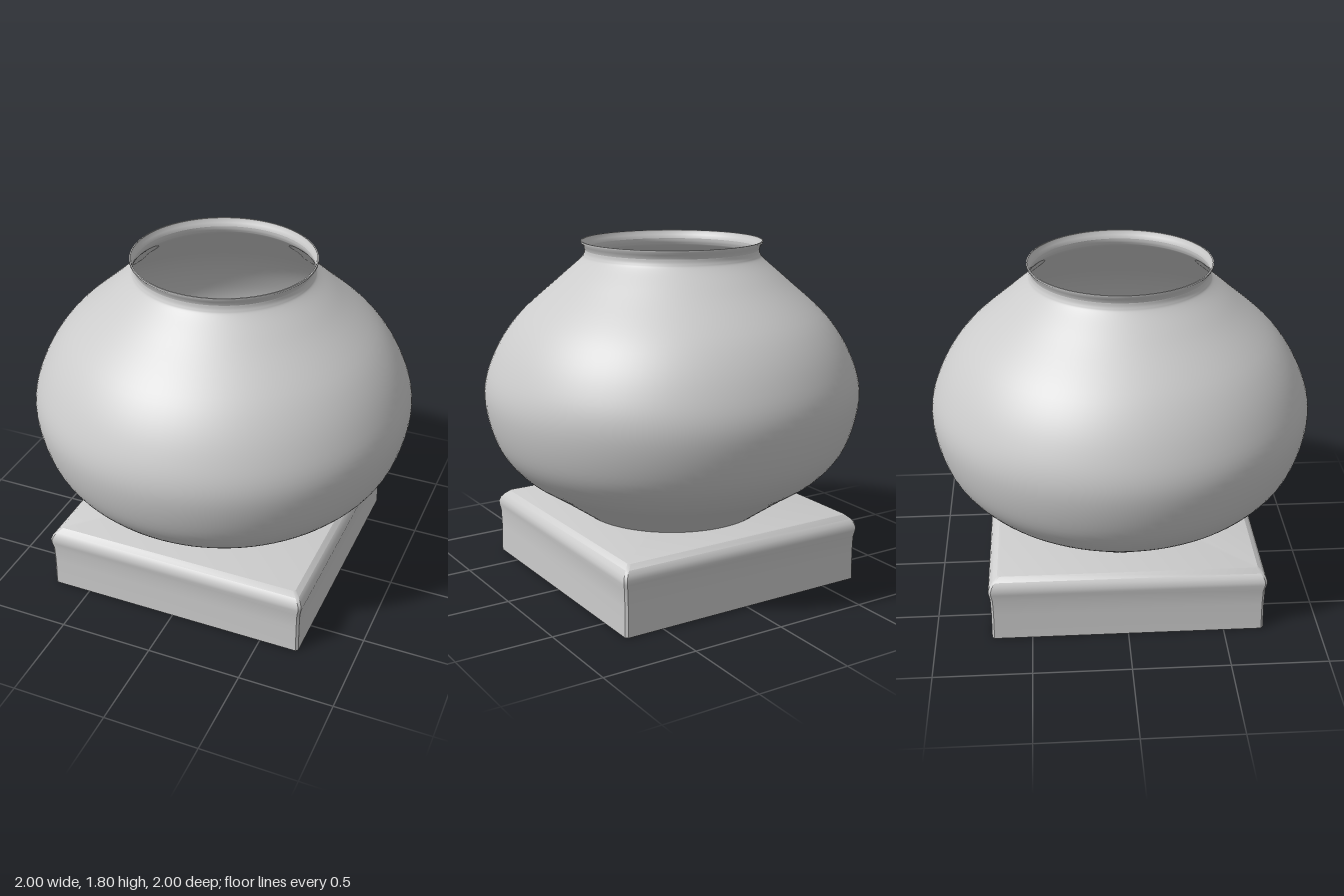
import * as THREE from 'three';
import { toCreasedNormals } from 'three/addons/utils/BufferGeometryUtils.js';

const material = new THREE.MeshStandardMaterial({ color: 0xcccccc });
const thin = new THREE.MeshStandardMaterial({ color: 0xcccccc, side: THREE.DoubleSide });

// Square block lofted through [half width, height] rings with clipped corners
function squareLoft(rings, cut) {
  const pos = [], index = [], n = 8;
  for (const [h, y] of rings) {
    const c = h - cut;
    for (const [x, z] of [[h, -c], [c, -h], [-c, -h], [-h, -c], [-h, c], [-c, h], [c, h], [h, c]]) pos.push(x, y, z);
  }
  for (let r = 0; r < rings.length - 1; r++) {
    for (let i = 0; i < n; i++) {
      const a = r * n + i, b = r * n + (i + 1) % n;
      index.push(a, b, a + n, b, b + n, a + n);
    }
  }
  // Bottom and top faces
  const t = (rings.length - 1) * n;
  for (let i = 1; i < n - 1; i++) index.push(0, i + 1, i, t, t + i, t + i + 1);
  const g = new THREE.BufferGeometry();
  g.setAttribute('position', new THREE.Float32BufferAttribute(pos, 3));
  g.setIndex(index);
  return toCreasedNormals(g, 0.6);
}

export function createModel() {
  const group = new THREE.Group();

  // Plinth: square slab with a softened, slightly overhanging top edge
  const plinth = new THREE.Mesh(squareLoft([
    [0.71, 0], [0.708, 0.15], [0.71, 0.24], [0.717, 0.275],
    [0.718, 0.295], [0.71, 0.318], [0.695, 0.338], [0.67, 0.36],
  ], 0.012), material);
  plinth.name = 'plinth';
  group.add(plinth);

  // Bowl: thin open wall, round belly narrowing to the neck
  const belly = new THREE.SplineCurve([
    [0.49, 0.36], [0.66, 0.48], [0.83, 0.6], [0.945, 0.76], [0.998, 1.0],
    [0.948, 1.2], [0.82, 1.4], [0.6, 1.6], [0.485, 1.7], [0.462, 1.73], [0.457, 1.755],
  ].map(([r, y]) => new THREE.Vector2(r, y)));
  const bowl = new THREE.Mesh(new THREE.LatheGeometry(belly.getPoints(60), 96), thin);
  bowl.name = 'bowl';
  group.add(bowl);

  // Rim: short flare with a narrow upright lip
  const lip = [[0.457, 1.755], [0.462, 1.775], [0.475, 1.79], [0.475, 1.8], [0.468, 1.8]]
    .map(([r, y]) => new THREE.Vector2(r, y));
  const rim = new THREE.Mesh(toCreasedNormals(new THREE.LatheGeometry(lip, 96), 0.8), thin);
  rim.name = 'rim';
  group.add(rim);

  return group;
}
